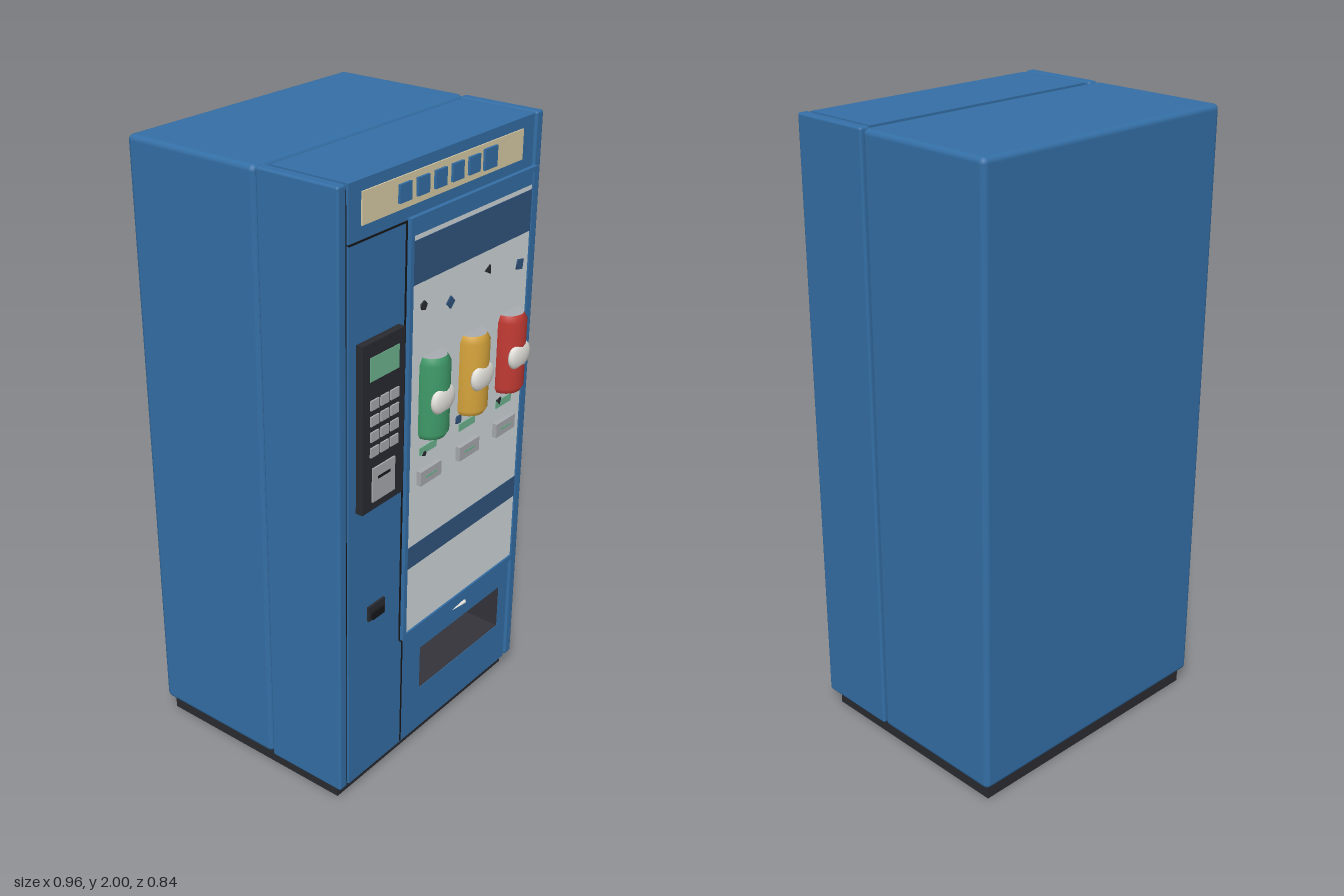
import * as THREE from 'three';
import { RoundedBoxGeometry } from 'three/addons/geometries/RoundedBoxGeometry.js';

const mat = (color, extra = {}) => new THREE.MeshStandardMaterial({ color, ...extra });

export function createModel() {
  const root = new THREE.Group();
  const blue = mat(0x346fa6), navy = mat(0x31557f), dark = mat(0x2a2b31), black = mat(0x16171a);
  const white = mat(0xd3dbde), cream = mat(0xdccfa8), grey = mat(0xa9acb0), green = mat(0x6fb792);
  const pale = mat(0xe8e6e0);

  const add = (name, geometry, material, parent = root) => {
    const m = new THREE.Mesh(geometry, material);
    m.name = name;
    parent.add(m);
    return m;
  };
  // Box given by its extents on each axis
  const box = (name, material, x0, x1, y0, y1, z0, z1, radius = 0) => {
    const s = [x1 - x0, y1 - y0, z1 - z0];
    const g = radius ? new RoundedBoxGeometry(...s, 2, radius) : new THREE.BoxGeometry(...s);
    const m = add(name, g, material);
    m.position.set((x0 + x1) / 2, (y0 + y1) / 2, (z0 + z1) / 2);
    return m;
  };
  // Rectangular plate with a rectangular opening, extruded from z0 to z1
  const framePlate = (name, material, [x0, x1, y0, y1], [a0, a1, b0, b1], z0, z1) => {
    const s = new THREE.Shape([[x0, y0], [x1, y0], [x1, y1], [x0, y1]].map(p => new THREE.Vector2(...p)));
    s.holes.push(new THREE.Path([[a0, b0], [a0, b1], [a1, b1], [a1, b0]].map(p => new THREE.Vector2(...p))));
    const m = add(name, new THREE.ExtrudeGeometry(s, { depth: z1 - z0, bevelEnabled: false }), material);
    m.position.z = z0;
    return m;
  };

  // Plinth, cabinet and side posts
  box('plinth', dark, -0.455, 0.455, 0, 0.05, -0.4, 0.315);
  box('cabinet', blue, -0.478, 0.478, 0.05, 2, -0.42, 0.06, 0.018);
  box('doorGap', black, -0.46, 0.46, 0.055, 1.98, 0.04, 0.08);
  for (const s of [-1, 1]) {
    const c = s * 0.46;
    box('sidePost', blue, c - 0.018, c + 0.018, 0.05, 2, 0.064, 0.345, 0.008);
    const g = s * 0.437;
    box('postGap', black, g - 0.008, g + 0.008, 0.055, 1.98, 0.07, 0.335);
  }

  // Door body with the delivery opening
  framePlate('doorBody', blue, [-0.432, 0.432, 0.05, 1.997], [-0.07, 0.382, 0.207, 0.367], 0.078, 0.342);
  const bin = mat(0x33333a, { side: THREE.BackSide });
  box('deliveryBin', bin, -0.069, 0.381, 0.208, 0.366, 0.12, 0.341);
  box('doorSeam', black, -0.172, -0.166, 0.055, 0.46, 0.33, 0.3435);
  box('doorSeam', black, -0.432, -0.18, 1.828, 1.834, 0.33, 0.3435);
  box('doorSeam', black, -0.18, 0.432, 0.452, 0.462, 0.33, 0.3435);
  box('doorSeam', black, -0.187, -0.179, 0.46, 1.83, 0.33, 0.3435);
  add('deliveryHandle', new THREE.ConeGeometry(0.008, 0.07, 6).rotateZ(Math.PI / 2), pale)
    .position.set(0.137, 0.42, 0.343);

  // Header sign
  box('signPlate', cream, -0.38, 0.372, 1.873, 1.965, 0.335, 0.346);
  for (let i = 0; i < 6; i++) {
    const x = -0.203 + i * 0.08, h = i === 5 ? 0.031 : 0.026;
    box('signSquare', blue, x - h, x + h, 1.92 - h, 1.92 + h, 0.34, 0.354);
  }

  // Display window
  framePlate('windowFrame', blue, [-0.18, 0.445, 0.46, 1.84], [-0.165, 0.427, 0.48, 1.825], 0.34, 0.356);
  box('displayPanel', white, -0.167, 0.429, 0.478, 1.827, 0.335, 0.35);
  box('displayBand', navy, -0.165, 0.427, 1.64, 1.77, 0.345, 0.352);
  box('displayBand', navy, -0.165, 0.427, 0.712, 0.787, 0.345, 0.352);
  box('displayTopStrip', blue, -0.165, 0.427, 1.785, 1.825, 0.345, 0.351);

  // Confetti chips: x, y, size, turn, material, sides
  for (const [x, y, r, turn, m, sides] of [
    [-0.11, 1.567, 0.015, 0.4, dark, 5], [0.02, 1.536, 0.02, 0, navy, 4],
    [0.21, 1.578, 0.017, -Math.PI / 2, dark, 3], [0.38, 1.546, 0.022, 0.6, navy, 4],
    [-0.09, 1.088, 0.009, 0.3, dark, 5], [0.083, 1.133, 0.017, 0.7, navy, 4],
    [0.303, 1.112, 0.014, 0.2, dark, 3]]) {
    const chip = add('confettiChip', new THREE.CylinderGeometry(r, r, 0.008, sides).rotateX(Math.PI / 2), m);
    chip.position.set(x, y, 0.351);
    chip.rotation.z = turn;
  }

  // Drink cans with badge, price label and button
  const canProfile = [[0.048, -0.13], [0.058, -0.112], [0.058, 0.108], [0.046, 0.13]]
    .map(p => new THREE.Vector2(...p));
  [[-0.07, 0x3f9a69], [0.13, 0xd6a43c], [0.33, 0xc23a33]].forEach(([x, color]) => {
    const can = new THREE.Group();
    can.name = 'drinkCan';
    can.position.set(x, 1.28, 0.355);
    root.add(can);
    add('canBody', new THREE.LatheGeometry(canProfile, 14, -Math.PI / 2, Math.PI),
      mat(color, { side: THREE.DoubleSide }), can);
    for (const s of [-1, 1]) {
      const end = add('canEnd', new THREE.CylinderGeometry(0.046, 0.046, 0.004, 14, 1, false, -Math.PI / 2, Math.PI), grey, can);
      end.position.y = s * 0.128;
    }
    const badge = add('canBadge', new THREE.SphereGeometry(0.05, 14, 10), pale, can);
    badge.scale.set(1.12, 0.95, 0.35);
    badge.position.set(0, -0.005, 0.045);
    box('priceLabel', green, x - 0.042, x + 0.042, 1.088, 1.113, 0.345, 0.353);
    box('selectButton', grey, x - 0.052, x + 0.052, 0.993, 1.04, 0.345, 0.366);
    box('buttonMark', green, x - 0.028, x + 0.028, 1.013, 1.019, 0.36, 0.367);
  });

  // Payment panel
  box('paymentPanel', dark, -0.4, -0.212, 1.02, 1.543, 0.34, 0.366);
  box('paymentScreen', green, -0.37, -0.24, 1.428, 1.5, 0.36, 0.368);
  for (let row = 0; row < 4; row++)
    for (let col = 0; col < 3; col++) {
      const x = -0.35 + col * 0.045, y = 1.356 - row * 0.049;
      box('key', grey, x - 0.018, x + 0.018, y - 0.015, y + 0.015, 0.36, 0.371);
    }
  box('noteReader', grey, -0.358, -0.256, 1.047, 1.156, 0.36, 0.371);
  box('noteSlot', black, -0.335, -0.28, 1.117, 1.125, 0.365, 0.373);

  // Coin return
  box('coinReturn', dark, -0.346, -0.268, 0.62, 0.67, 0.335, 0.35);
  box('coinReturnFlap', black, -0.335, -0.279, 0.624, 0.648, 0.34, 0.357);

  return root;
}
